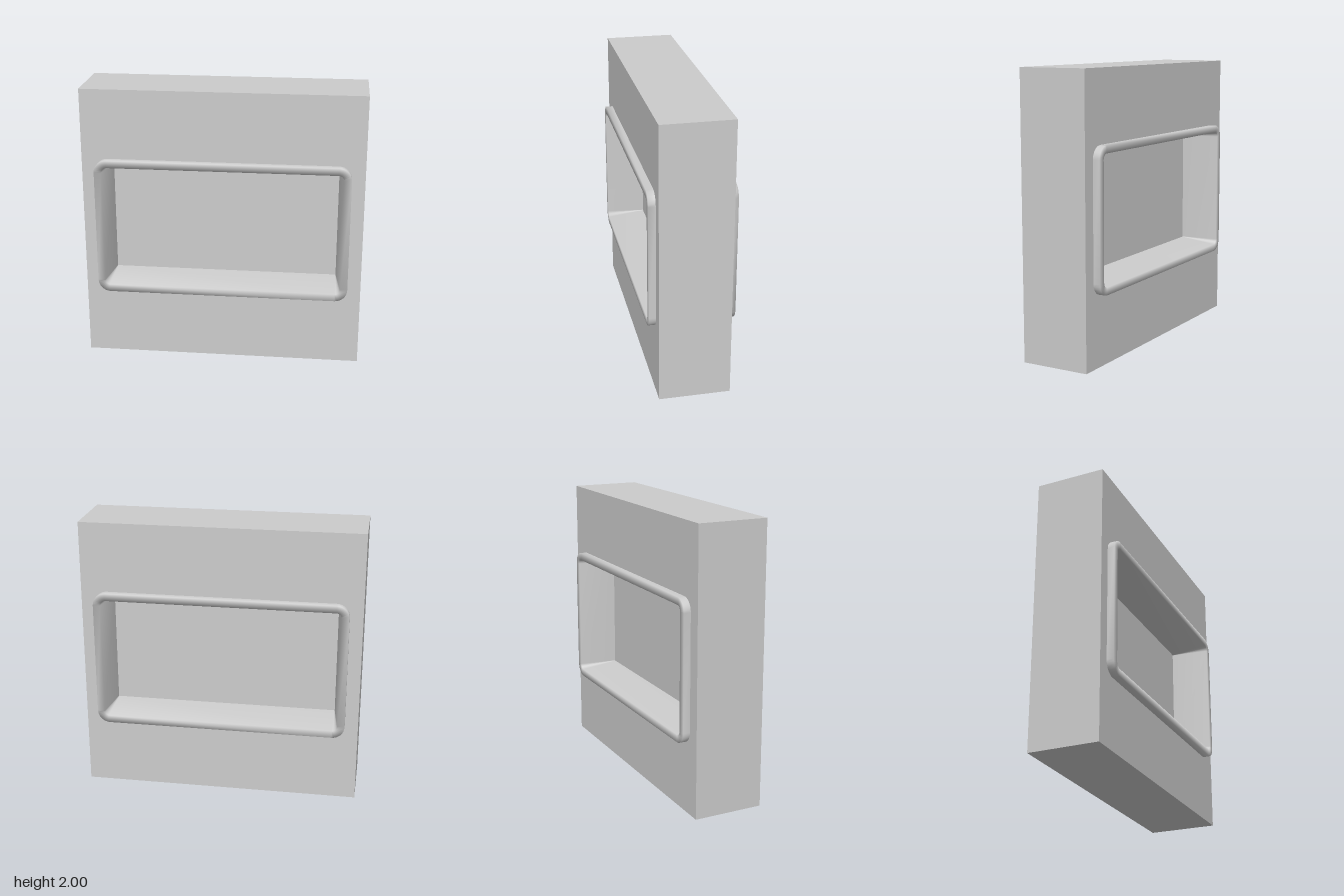
import * as THREE from 'three';

const HALF_W = 0.906, HALF_H = 0.5, RADIUS = 0.09, MID_Y = 1;

// Rounded rectangle ring, counter-clockwise, moved inwards by `inset`
function ring(inset, steps = 8) {
  const r = Math.max(RADIUS - inset, 0.002), points = [];
  const corners = [[1, 1], [-1, 1], [-1, -1], [1, -1]];
  corners.forEach(([sx, sy], c) => {
    for (let i = 0; i <= steps; i++) {
      const a = (c + i / steps) * Math.PI / 2;
      points.push(new THREE.Vector2(
        sx * (HALF_W - RADIUS) + r * Math.cos(a),
        MID_Y + sy * (HALF_H - RADIUS) + r * Math.sin(a)));
    }
  });
  return points;
}

// Sweep a closed [inset, z] section around the ring, with smooth normals
function sweepFrame(section) {
  const positions = [], index = [];
  const rings = section.map(([inset]) => ring(inset));
  const n = rings[0].length, m = section.length;
  rings.forEach((points, j) => points.forEach(p => positions.push(p.x, p.y, section[j][1])));
  for (let j = 0; j < m; j++) {
    for (let i = 0; i < n; i++) {
      const k = (i + 1) % n, next = (j + 1) % m;
      const a = j * n + i, b = j * n + k, c = next * n + k, d = next * n + i;
      index.push(a, b, d, b, c, d);
    }
  }
  const geometry = new THREE.BufferGeometry();
  geometry.setAttribute('position', new THREE.Float32BufferAttribute(positions, 3));
  geometry.setIndex(index);
  geometry.computeVertexNormals();
  return geometry;
}

export function createModel() {
  const group = new THREE.Group();
  group.name = 'wallWithWindow';
  const material = new THREE.MeshStandardMaterial({ color: 0xcccccc });
  const add = (name, geometry) => {
    const mesh = new THREE.Mesh(geometry, material);
    mesh.name = name;
    group.add(mesh);
    return mesh;
  };

  // Wall block with the window opening cut through it
  const outline = new THREE.Shape([[-1, 0], [1, 0], [1, 2], [-1, 2]].map(p => new THREE.Vector2(...p)));
  outline.holes.push(new THREE.Path(ring(0.02).reverse()));
  const wall = new THREE.ExtrudeGeometry(outline, { depth: 0.5, bevelEnabled: false });
  wall.translate(0, 0, -0.25);
  add('wall', wall);

  // Frame: raised rim on both faces, reveal tapering in to the pane
  add('windowFrame', sweepFrame([
    [0, -0.3], [0, -0.25], [0, 0.25], [0, 0.3],
    [0.053, 0.3], [0.087, 0.02], [0.087, -0.02], [0.053, -0.3],
  ]));

  // Pane across the middle of the opening
  const pane = add('windowPane', new THREE.BoxGeometry(2 * HALF_W - 0.17, 2 * HALF_H - 0.17, 0.036));
  pane.position.y = MID_Y;

  return group;
}
